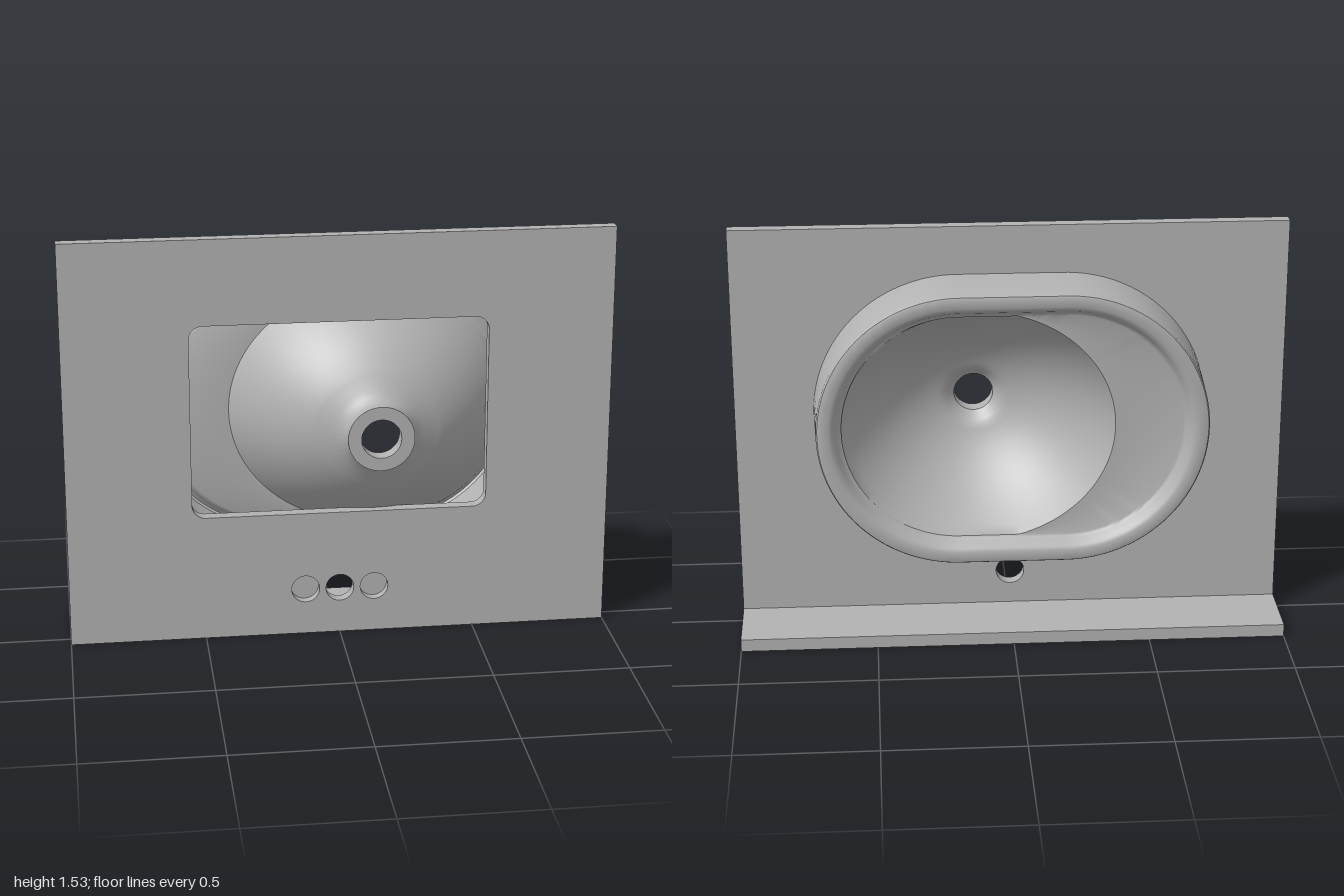
import * as THREE from 'three';
import { toCreasedNormals } from 'three/addons/utils/BufferGeometryUtils.js';

const CY = 0.828;            // height of the basin axis
const DX = 0.125;            // sideways offset of the drain
const HALF = 0.192;          // half of the basin's straight length
const RADIUS = 0.522;        // radius of the basin's round ends
const SEGMENTS = 144;

// Distance from the drain axis to an oval that lies "inset" inside the skirt
function ovalReach(angle, inset) {
  const c = Math.cos(angle), s = Math.sin(angle);
  let lo = 0, hi = 2;
  for (let i = 0; i < 40; i++) {
    const m = (lo + hi) / 2;
    const x = Math.max(Math.abs(DX + m * c) - HALF, 0);
    if (Math.hypot(x, m * s) < RADIUS - inset) lo = m; else hi = m;
  }
  return lo;
}

// Rows are functions angle -> [distance from drain axis, z]
const circle = (r, z) => () => [r, z];
const oval = (inset, z) => (a) => [ovalReach(a, inset), z];
function dome(s, scale, lift, clip, start) {
  return (a) => {
    const ellipse = scale / Math.hypot(Math.cos(a) / 0.515, Math.sin(a) / 0.46);
    const edge = Math.min(ellipse, ovalReach(a, clip));
    const full = edge / ellipse;
    const t = start + (full - start) * s;
    return [ellipse * t, lift + 0.205 - 0.3 * t * t - 0.04 * t ** 4];
  };
}
function domeRows(scale, lift, clip, start) {
  const rows = [];
  for (let i = 0; i <= 16; i++) rows.push(dome(i / 16, scale, lift, clip, start));
  return rows;
}

// Skin stretched over the rows, all the way round the drain axis
function skin(rows, facesFront) {
  const pos = [], index = [];
  for (const row of rows) {
    for (let j = 0; j < SEGMENTS; j++) {
      const a = (j / SEGMENTS) * Math.PI * 2;
      const [r, z] = row(a);
      pos.push(DX + r * Math.cos(a), CY + r * Math.sin(a), z);
    }
  }
  for (let i = 0; i < rows.length - 1; i++) {
    for (let j = 0; j < SEGMENTS; j++) {
      const k = (j + 1) % SEGMENTS;
      const a = i * SEGMENTS + j, b = a + SEGMENTS;
      const d = i * SEGMENTS + k, c = d + SEGMENTS;
      if (facesFront) index.push(a, b, c, a, c, d);
      else index.push(a, c, b, a, d, c);
    }
  }
  const g = new THREE.BufferGeometry();
  g.setAttribute('position', new THREE.Float32BufferAttribute(pos, 3));
  g.setIndex(index);
  return toCreasedNormals(g, 0.6);
}

function roundedWindow(x0, y0, x1, y1, r) {
  const p = new THREE.Path();
  p.absarc(x1 - r, y1 - r, r, 0, Math.PI / 2);
  p.absarc(x0 + r, y1 - r, r, Math.PI / 2, Math.PI);
  p.absarc(x0 + r, y0 + r, r, Math.PI, Math.PI * 1.5);
  p.absarc(x1 - r, y0 + r, r, Math.PI * 1.5, Math.PI * 2);
  p.closePath();
  return p;
}

// Plate layer with the window and round tap holes
function plateLayer(holeXs, z, depth) {
  const s = new THREE.Shape();
  s.moveTo(-1, 0).lineTo(1, 0).lineTo(1, 1.528).lineTo(-1, 1.528).closePath();
  s.holes.push(roundedWindow(-0.543, 0.478, 0.543, 1.21, 0.05));
  for (const x of holeXs) {
    s.holes.push(new THREE.Path().absarc(x, 0.178, 0.052, 0, Math.PI * 2));
  }
  const g = new THREE.ExtrudeGeometry(s, { depth, bevelEnabled: false, curveSegments: 24 });
  g.translate(0, 0, z);
  return toCreasedNormals(g, 0.6);
}

export function createModel() {
  const model = new THREE.Group();
  model.name = 'washbasinTop';
  const grey = new THREE.MeshStandardMaterial({ color: 0xb2b2b2 });
  grey.name = 'grey';
  const add = (name, geometry) => {
    const m = new THREE.Mesh(geometry, grey);
    m.name = name;
    model.add(m);
    return m;
  };

  // Counter plate: outer tap holes are blind, the middle one goes through
  add('counterFace', plateLayer([-0.128, 0, 0.128], 0.015, 0.036));
  add('counterBack', plateLayer([0], 0.005, 0.01));

  // Ledge along the lower edge
  add('ledge', new THREE.BoxGeometry(2, 0.047, 0.255)).position.set(0, 0.0235, -0.1225);

  // Underside of the basin: drain neck, dome, floor and inside of the skirt
  add('basinUnderside', skin([
    circle(0.072, 0.249), circle(0.12, 0.249), circle(0.12, 0.216),
    circle(0.124, 0.203), circle(0.139, 0.186), circle(0.165, 0.168),
    ...domeRows(1, 0, 0.08, 0.435),
    oval(0.08, -0.137), oval(0.07, -0.142), oval(0.06, -0.157),
    oval(0.05, -0.177), oval(0.038, -0.186), oval(0.03, -0.18), oval(0.022, 0.006),
  ], true));

  // Bowl side of the basin: drain bore, bowl, floor, rolled rim and skirt
  add('basinBowl', skin([
    circle(0.072, 0.249), circle(0.072, 0.19), circle(0.102, 0.16),
    ...domeRows(0.96, -0.035, 0.1, 0.26),
    oval(0.1, -0.17), oval(0.092, -0.174), oval(0.084, -0.185),
    oval(0.076, -0.2), oval(0.066, -0.211), oval(0.054, -0.217),
    oval(0.022, -0.217), oval(0.014, -0.214), oval(0.009, -0.205),
    oval(0, 0.006), oval(0.022, 0.006),
  ], false));

  return model;
}
